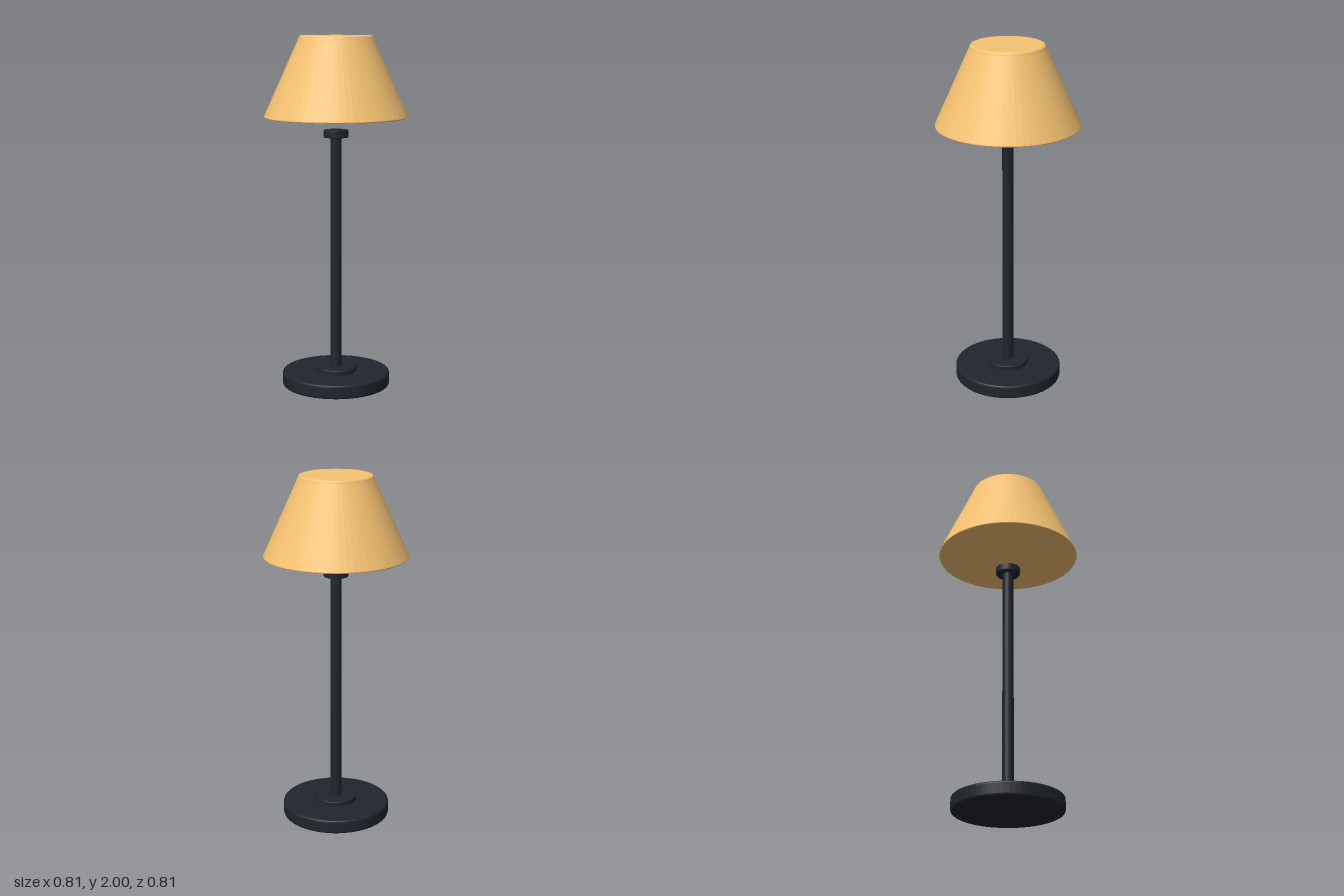
import * as THREE from 'three';

const SEGMENTS = 64;

export function createModel() {
  const lamp = new THREE.Group();
  lamp.name = 'tableLamp';

  const metal = new THREE.MeshStandardMaterial({ color: 0x20252d, flatShading: true });
  const fabric = new THREE.MeshStandardMaterial({ color: 0xf5c272, flatShading: true });

  // Closed turned part from a bottom-to-top profile of [radius, height]
  const turn = (name, profile, material) => {
    const points = [[0, profile[0][1]], ...profile, [0, profile.at(-1)[1]]];
    const geometry = new THREE.LatheGeometry(points.map(([r, y]) => new THREE.Vector2(r, y)), SEGMENTS);
    const mesh = new THREE.Mesh(geometry, material);
    mesh.name = name;
    lamp.add(mesh);
  };

  // Disc with softened upper and lower rims
  const disc = (name, radius, y0, y1, bevel) => {
    const profile = [];
    const steps = 3;
    for (let i = 0; i <= steps; i++) {
      const a = (i / steps) * Math.PI / 2;
      profile.push([radius - bevel * (1 - Math.sin(a)), y0 + bevel * (1 - Math.cos(a))]);
    }
    for (let i = 0; i <= steps; i++) {
      const a = (i / steps) * Math.PI / 2;
      profile.push([radius - bevel * (1 - Math.cos(a)), y1 - bevel * (1 - Math.sin(a))]);
    }
    turn(name, profile, metal);
  };

  // Stand
  disc('base', 0.308, 0, 0.08, 0.012);
  disc('baseCollar', 0.118, 0.075, 0.107, 0.005);
  turn('pole', [[0.032, 0.1], [0.032, 1.45]], metal);
  disc('poleCap', 0.069, 1.433, 1.476, 0.004);

  // Tapered shade, closed at both ends, with rounded rims
  turn('shade', [
    [0.398, 1.545], [0.402, 1.547], [0.403, 1.551], [0.401, 1.556],
    [0.209, 1.982], [0.206, 1.991], [0.202, 1.997], [0.195, 2],
  ], fabric);

  return lamp;
}
